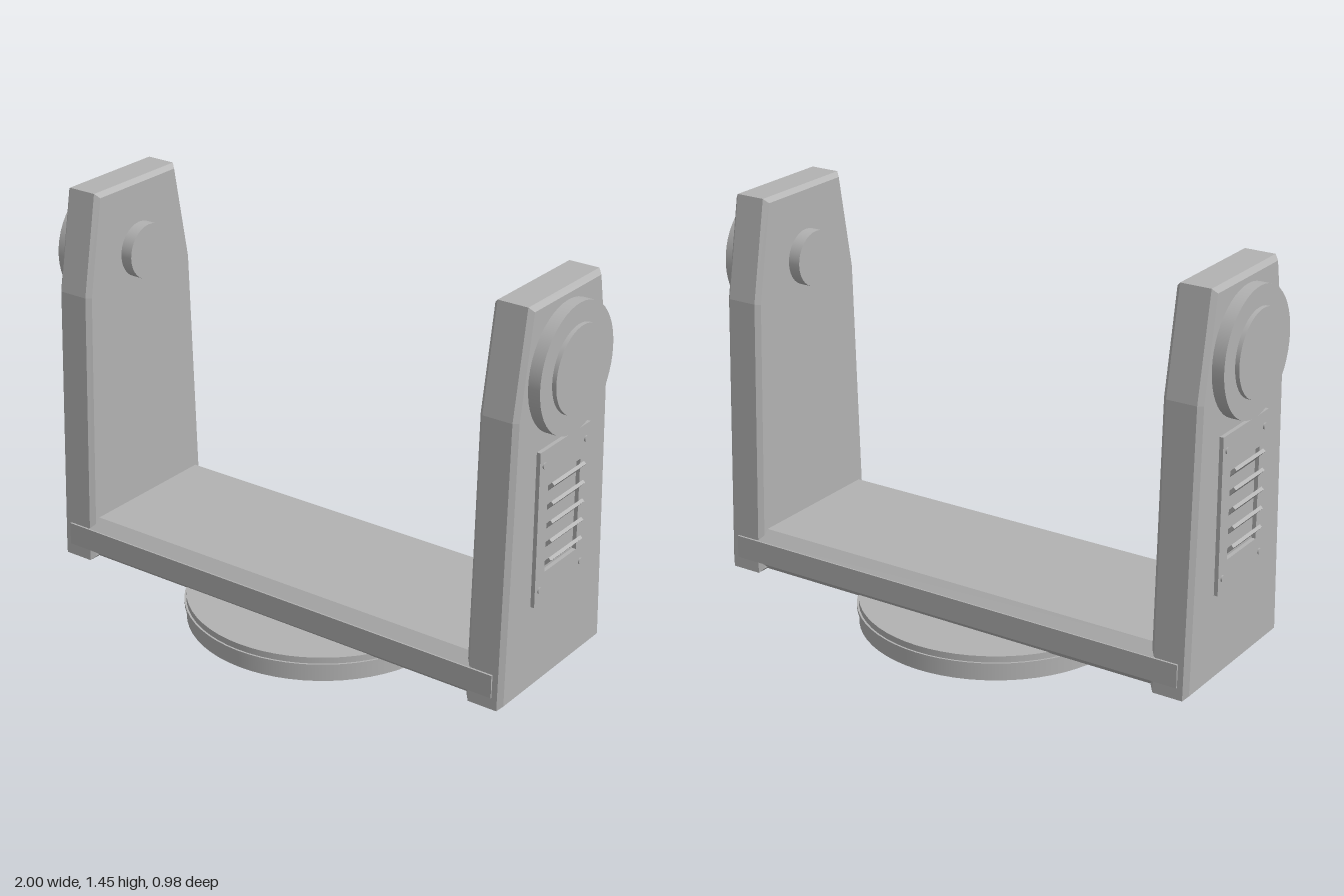
import * as THREE from 'three';

const grey = new THREE.MeshStandardMaterial({ color: 0xb2b2b2 });
grey.name = 'grey';

function add(parent, name, geometry, x = 0, y = 0, z = 0) {
  const mesh = new THREE.Mesh(geometry, grey);
  mesh.name = name;
  mesh.position.set(x, y, z);
  parent.add(mesh);
  return mesh;
}

const outline = (points) => new THREE.Shape(points.map(([a, b]) => new THREE.Vector2(a, b)));

// Extrudes a (z, y) outline along x, from x0 to x1, with an optional chamfer
function alongX(shape, x0, x1, bevel = 0) {
  const g = new THREE.ExtrudeGeometry(shape, {
    depth: x1 - x0 - 2 * bevel, bevelEnabled: bevel > 0, bevelSegments: 1,
    bevelSize: bevel, bevelThickness: bevel, bevelOffset: -bevel, steps: 1,
  });
  return g.translate(0, 0, x0 + bevel).rotateY(Math.PI / 2);
}

// Cylinder lying along x between x0 and x1
function disc(radius, x0, x1, sides = 48) {
  return new THREE.CylinderGeometry(radius, radius, x1 - x0, sides)
    .rotateZ(-Math.PI / 2).translate((x0 + x1) / 2, 0, 0);
}

// Mirrored outline from its right-hand half
const symmetric = (half) => outline([...half, ...half.map(([a, b]) => [-a, b]).reverse()]);

function createArm() {
  const arm = new THREE.Group();
  add(arm, 'upright', alongX(symmetric([
    [0.312, 0.078], [0.277, 1.085], [0.21, 1.447],
  ]), 0.8, 0.942, 0.016));

  // Pivot bearing outside, pin inside
  const pivotY = 1.19;
  add(arm, 'pivotHousing', disc(0.22, 0.93, 0.985), 0, pivotY);
  add(arm, 'pivotCap', disc(0.15, 0.98, 1.0), 0, pivotY);
  add(arm, 'pivotPin', disc(0.1, 0.755, 0.81, 32), 0, pivotY);

  // Vent plate with a rectangular opening
  const plate = symmetric([[0.152, 0.396], [0.152, 0.946]]);
  plate.holes.push(new THREE.Path([[-0.098, 0.505], [-0.098, 0.832], [0.098, 0.832], [0.098, 0.505]]
    .map(([a, b]) => new THREE.Vector2(a, b))));
  add(arm, 'ventPlate', alongX(plate, 0.938, 0.956));

  // Slanted louvres, leaning outwards at the top
  for (let i = 0; i < 5; i++) {
    const slat = new THREE.BoxGeometry(0.012, 0.05, 0.196).rotateZ(-0.75);
    add(arm, 'ventSlat', slat, 0.957, 0.538 + i * 0.067, 0);
  }
  // Corner screws
  for (const y of [0.45, 0.894]) {
    for (const z of [-0.126, 0.126]) add(arm, 'screw', disc(0.011, 0.95, 0.961, 16), 0, y, z);
  }
  return arm;
}

export function createModel() {
  const model = new THREE.Group();
  model.name = 'yokeMount';

  // Round foot with a thin raised rim
  add(model, 'foot', new THREE.CylinderGeometry(0.482, 0.482, 0.09, 64), 0, 0.045);
  add(model, 'footRim', new THREE.CylinderGeometry(0.489, 0.489, 0.012, 64), 0, 0.061);

  // Cross beam with sloped long edges
  add(model, 'crossBeam', alongX(symmetric([
    [0.27, 0.083], [0.31, 0.12], [0.31, 0.203], [0.272, 0.24],
  ]), -0.82, 0.82));
  for (const s of [-1, 1]) {
    add(model, 'edgeStrip', new THREE.BoxGeometry(1.81, 0.083, 0.03), 0, 0.162, s * 0.3);
  }

  // Two identical arms, turned to face outwards
  for (const [name, turn] of [['leftArm', 0], ['rightArm', Math.PI]]) {
    const arm = createArm();
    arm.name = name;
    arm.rotation.y = turn;
    model.add(arm);
  }
  return model;
}
